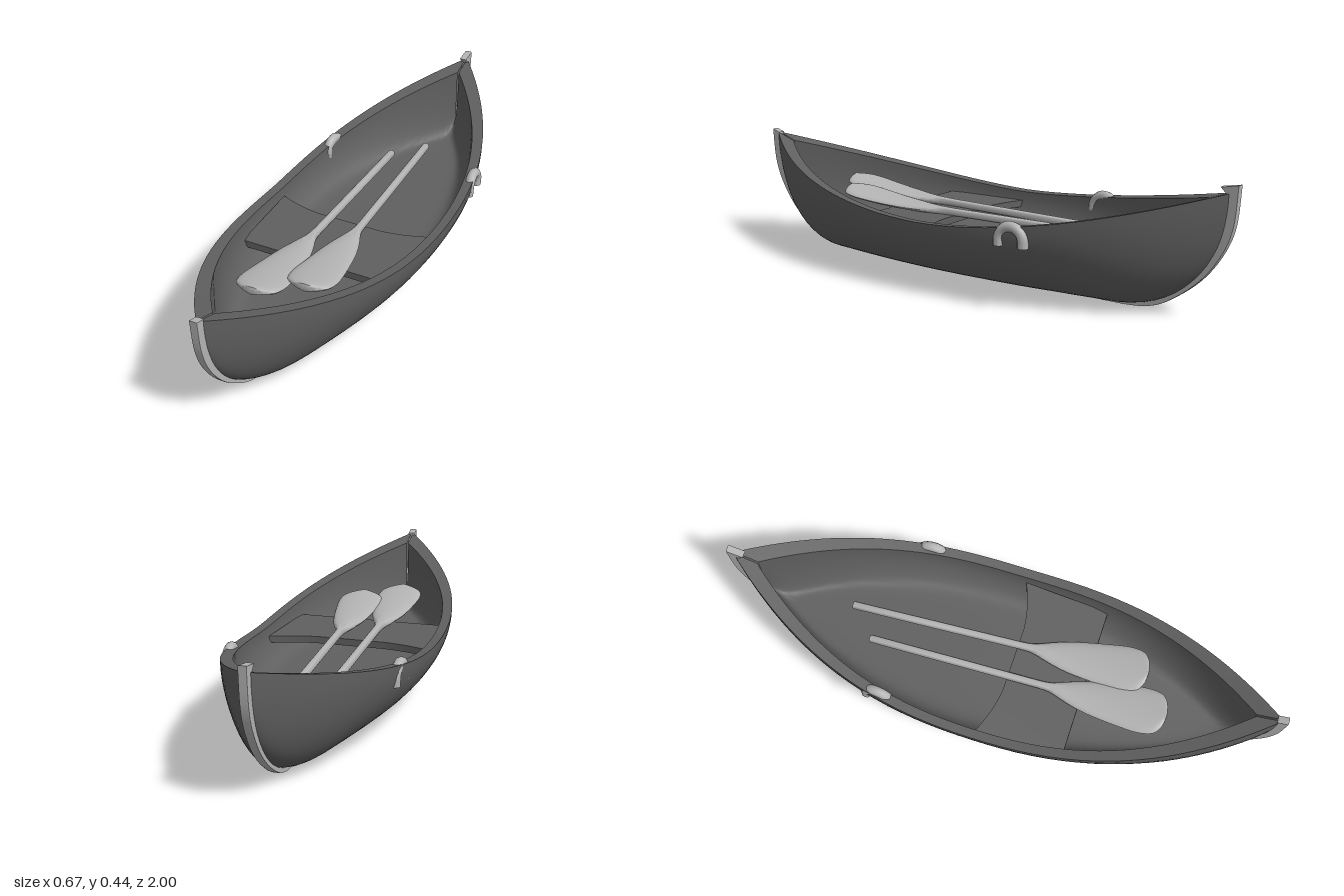
import * as THREE from 'three';
import { toCreasedNormals } from 'three/addons/utils/BufferGeometryUtils.js';

const hullMat = new THREE.MeshStandardMaterial({ color: 0x606060, side: THREE.DoubleSide });
const benchMat = new THREE.MeshStandardMaterial({ color: 0x606060 });
const trimMat = new THREE.MeshStandardMaterial({ color: 0xb4b4b4 });

// Hull lines along z: half width, top edge height, bottom height
const END = 0.98;
const FLOOR = 0.125;
const halfWidth = z => 0.33 * (1 - Math.pow(Math.min(Math.abs(z) / END, 1), 2.45)) + 0.003;
const sheer = z => 0.25 + 0.175 * Math.pow(Math.abs(z), 1.75);
const keelLine = z => {
  const t = Math.min(Math.max((Math.abs(z) - 0.6) / 0.378, 0), 1);
  return 0.01 + 0.4 * (1 - Math.sqrt(1 - t * t));
};
// Rounds the inner wall into a level floor
const aboveFloor = y => 0.5 * (y + FLOOR + Math.sqrt((y - FLOOR) ** 2 + 0.0004));

function add(group, name, geometry, material) {
  const mesh = new THREE.Mesh(geometry, material);
  mesh.name = name;
  group.add(mesh);
  return mesh;
}

// Outer skin, rim and inner skin lofted as one closed ring per station
function hullGeometry() {
  const stations = 56, arc = 32, pos = [], idx = [];
  const ring = 2 * (arc + 1);
  for (let i = 0; i <= stations; i++) {
    const z = END * Math.sin((i / stations - 0.5) * Math.PI);
    const zi = z * 0.915;
    const w = halfWidth(z);
    for (let j = 0; j <= arc; j++) {
      const a = (j / arc - 0.5) * Math.PI;
      const top = sheer(z);
      pos.push(w * Math.sin(a), top - (top - keelLine(z)) * Math.cos(a), z);
    }
    for (let j = 0; j <= arc; j++) {
      const a = (0.5 - j / arc) * Math.PI;
      const top = sheer(zi) - 0.003;
      const y = top - (top - keelLine(zi) - 0.03) * Math.cos(a);
      pos.push(w * 0.9 * Math.sin(a), aboveFloor(y), zi);
    }
  }
  for (let i = 0; i < stations; i++) {
    for (let j = 0; j < ring; j++) {
      const a = i * ring + j, b = i * ring + (j + 1) % ring;
      idx.push(a, b, a + ring, b, b + ring, a + ring);
    }
  }
  const g = new THREE.BufferGeometry();
  g.setAttribute('position', new THREE.Float32BufferAttribute(pos, 3));
  g.setIndex(idx);
  return toCreasedNormals(g, 0.7);
}

// Curved strip over a bow, side = 1 for front and -1 for back
function stemGeometry(side, top, headDepth) {
  const v = (x, y) => new THREE.Vector2(x, y);
  const shape = new THREE.Shape();
  shape.moveTo(0.59, 0.014);
  shape.lineTo(0.61, 0.001);
  shape.splineThru([v(0.7, 0.01), v(0.78, 0.044), v(0.88, 0.122), v(0.95, 0.215), v(0.987, 0.31), v(0.999, top)]);
  shape.lineTo(1 - headDepth, top - 0.01);
  shape.lineTo(0.965, top - 0.035);
  shape.splineThru([v(0.958, 0.31), v(0.925, 0.215), v(0.86, 0.135), v(0.76, 0.062), v(0.59, 0.014)]);
  const g = new THREE.ExtrudeGeometry(shape, {
    depth: 0.018, curveSegments: 24, bevelEnabled: true, bevelSize: 0.001, bevelThickness: 0.004, bevelSegments: 1
  });
  g.translate(0, 0, -0.009);
  g.rotateY(-side * Math.PI / 2);
  return toCreasedNormals(g, 0.6);
}

// Seat board with a hollowed rear edge
function benchGeometry() {
  const s = new THREE.Shape();
  s.moveTo(-0.295, 0);
  s.quadraticCurveTo(-0.2, -0.04, -0.12, -0.046);
  s.lineTo(0.12, -0.046);
  s.quadraticCurveTo(0.2, -0.04, 0.295, 0);
  s.lineTo(0.275, -0.315);
  s.lineTo(-0.275, -0.315);
  s.closePath();
  const g = new THREE.ExtrudeGeometry(s, { depth: 0.025, bevelEnabled: false, curveSegments: 8 });
  g.rotateX(-Math.PI / 2);
  return toCreasedNormals(g, 0.6);
}

// Turned paddle, pressed flat where it widens into a blade that curves up
function paddleGeometry() {
  const blade = new THREE.SplineCurve([
    [0.014, 0.62], [0.018, 0.67], [0.042, 0.74], [0.062, 0.82], [0.08, 0.95],
    [0.083, 1.01], [0.072, 1.055], [0.04, 1.078], [0.0001, 1.085]
  ].map(p => new THREE.Vector2(...p)));
  const profile = [[0, 0], [0.012, 0], [0.014, 0.005], [0.014, 0.3]].map(p => new THREE.Vector2(...p));
  const g = new THREE.LatheGeometry([...profile, ...blade.getPoints(36)], 20);
  const p = g.attributes.position;
  for (let i = 0; i < p.count; i++) {
    const r = Math.hypot(p.getX(i), p.getZ(i));
    const t = Math.max(0, (p.getY(i) - 0.65) / 0.43);
    p.setZ(i, p.getZ(i) * Math.min(1, 0.015 / Math.max(r, 0.001)) - 0.035 * t * t);
  }
  g.rotateX(Math.PI / 2);
  return toCreasedNormals(g, 0.8);
}

export function createModel() {
  const boat = new THREE.Group();
  boat.name = 'rowingBoat';

  add(boat, 'hull', hullGeometry(), hullMat);
  add(boat, 'frontStem', stemGeometry(1, 0.43, 0.035), trimMat);
  add(boat, 'backStem', stemGeometry(-1, 0.443, 0.06), trimMat);
  add(boat, 'keel', new THREE.BoxGeometry(0.02, 0.014, 1.24), trimMat).position.y = 0.007;
  add(boat, 'bench', benchGeometry(), benchMat).position.y = 0.19;

  // Paddles rest on the bench, blades forward
  const paddle = paddleGeometry();
  const paddles = [
    ['rightPaddle', [-0.085, 0.215, -0.465], [-0.053, 0.235, 0.615]],
    ['leftPaddle', [0.015, 0.222, -0.565], [0.08, 0.228, 0.51]]
  ];
  for (const [name, handle, tip] of paddles) {
    const m = add(boat, name, paddle, trimMat);
    m.position.set(...handle);
    m.lookAt(...tip);
  }

  // Arched oarlocks straddling the rim
  for (const [name, x, side] of [['leftOarlock', 0.296, 1], ['rightOarlock', -0.284, -1]]) {
    const lock = new THREE.Group();
    lock.name = name;
    add(lock, 'arch', new THREE.TorusGeometry(0.045, 0.018, 10, 20, Math.PI), trimMat);
    for (const end of [-1, 1]) {
      const foot = add(lock, 'foot', new THREE.CylinderGeometry(0.018, 0.018, 0.022, 10), trimMat);
      foot.position.set(end * 0.045, -0.01, 0);
    }
    lock.position.set(x, 0.235, -0.36);
    lock.rotation.y = side * Math.PI / 2 + 0.08 * side;
    boat.add(lock);
  }
  return boat;
}
